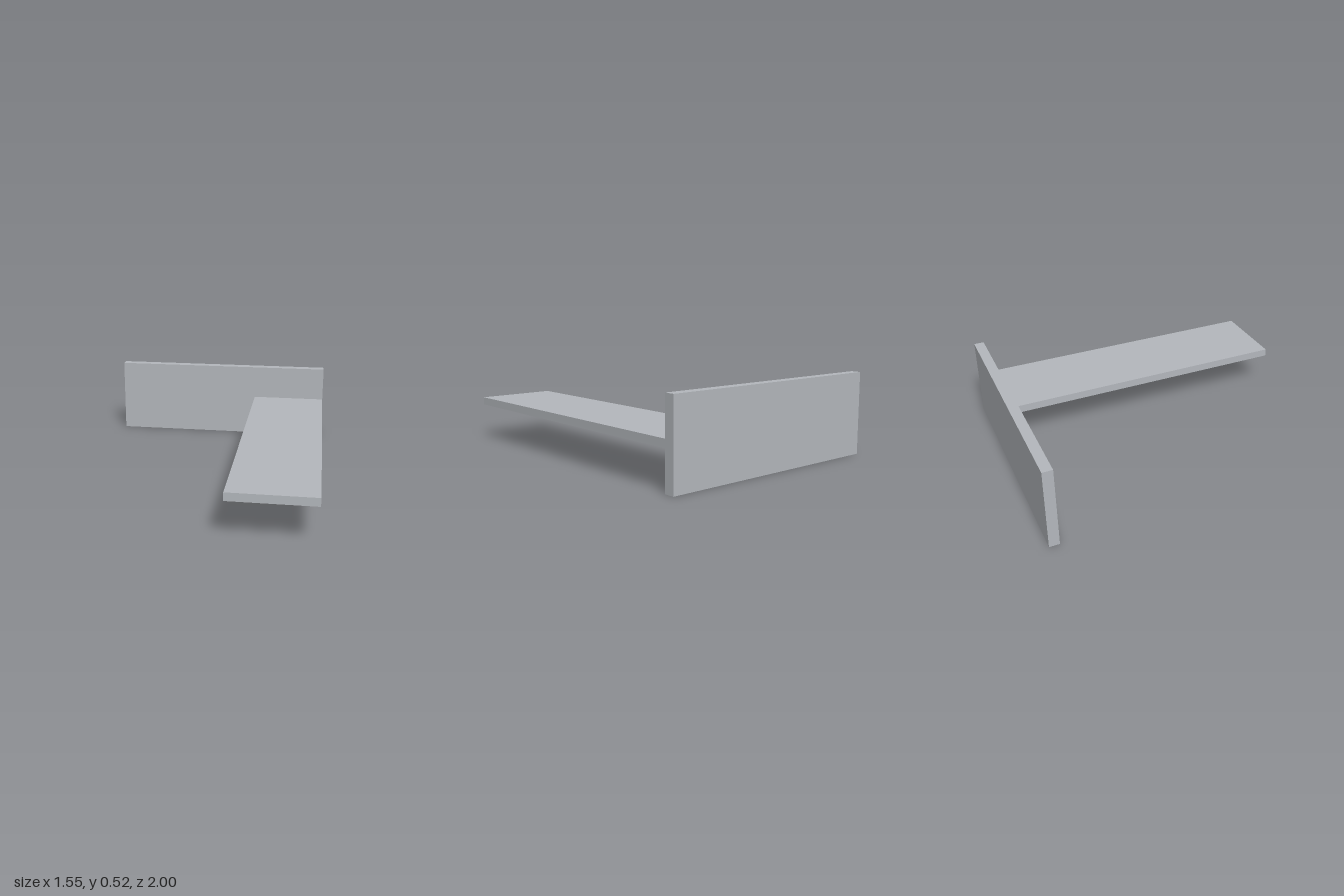
import * as THREE from 'three';

const grey = new THREE.MeshStandardMaterial({ color: 0xb4b8bd });
grey.name = 'light grey';

// Box given by its minimum and maximum corners
function slab(name, min, max) {
  const size = max.map((v, i) => v - min[i]);
  const mesh = new THREE.Mesh(new THREE.BoxGeometry(...size), grey);
  mesh.position.set(...max.map((v, i) => (v + min[i]) / 2));
  mesh.name = name;
  return mesh;
}

export function createModel() {
  const model = new THREE.Group();
  model.name = 'bracketShelf';
  // Upright plate at the back
  model.add(slab('backPlate', [-0.773, 0, -1], [0.773, 0.52, -0.936]));
  // Long arm reaching forward, flush with the plate's left end
  model.add(slab('arm', [0.257, 0.237, -0.936], [0.773, 0.287, 1]));
  return model;
}
